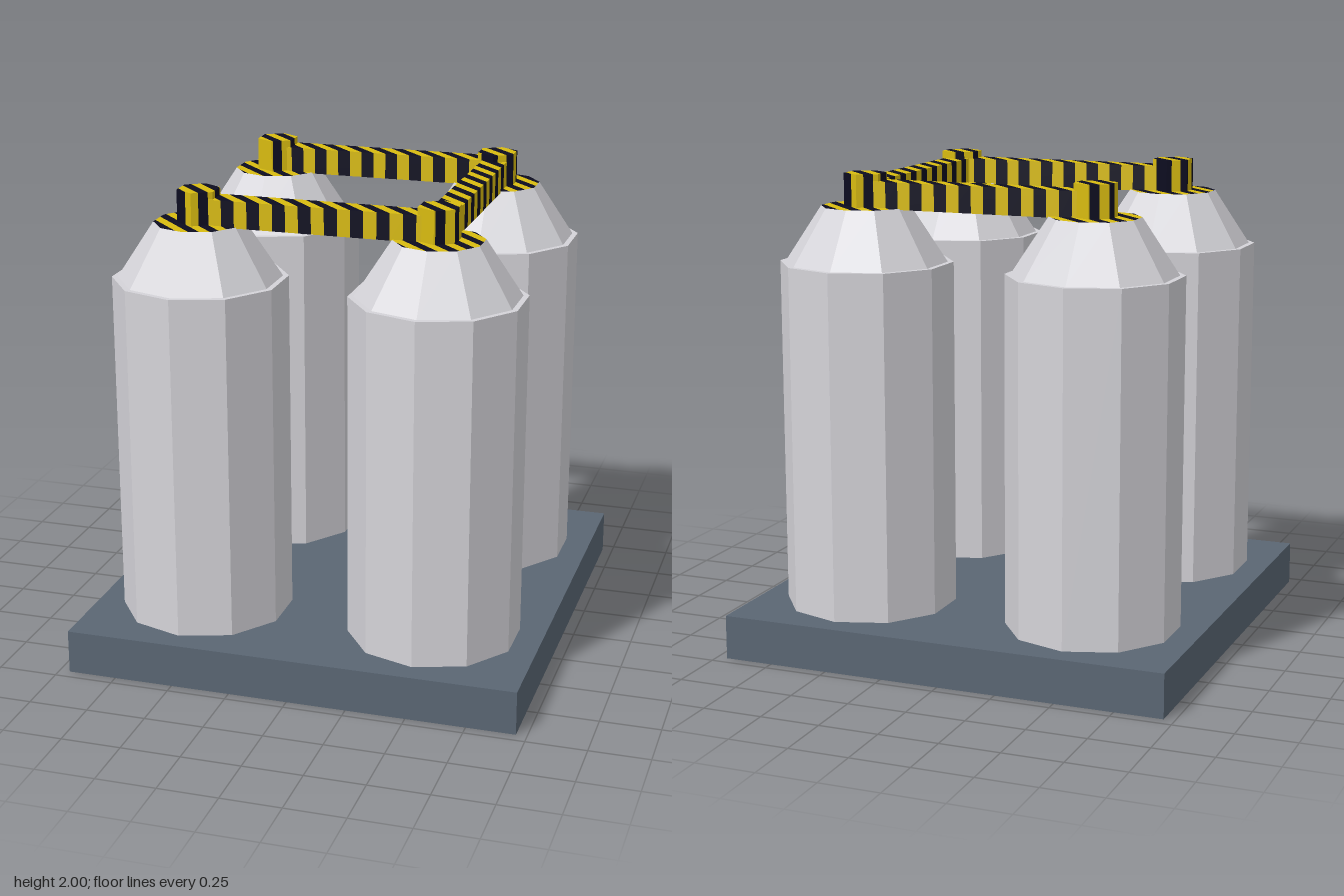
import * as THREE from 'three';

const PERIOD = 0.1075; // width of one yellow + black pair, measured along x or z

const mat = (name, color, extra = {}) => {
  const m = new THREE.MeshStandardMaterial({ color, flatShading: true, ...extra });
  m.name = name;
  return m;
};

// Diagonal coordinate that the hazard stripes follow
const diag = (p) => p.x - p.z;

// Keep the part of a polygon where sign * (diag - limit) >= 0
function clip(poly, limit, sign) {
  const out = [];
  poly.forEach((a, i) => {
    const b = poly[(i + 1) % poly.length];
    const da = sign * (diag(a) - limit);
    const db = sign * (diag(b) - limit);
    if (da >= 0) out.push(a);
    if ((da > 0 && db < 0) || (da < 0 && db > 0)) out.push(a.clone().lerp(b, da / (da - db)));
  });
  return out;
}

// Cut a geometry into diagonal bands: group 0 is yellow, group 1 is black
function striped(geometry) {
  const pos = geometry.toNonIndexed().attributes.position;
  const bands = [[], []];
  const half = PERIOD / 2;
  for (let i = 0; i < pos.count; i += 3) {
    const tri = [0, 1, 2].map((k) => new THREE.Vector3().fromBufferAttribute(pos, i + k));
    const d = tri.map(diag);
    const first = Math.round(Math.min(...d) / half);
    const last = Math.round(Math.max(...d) / half);
    for (let k = first; k <= last; k++) {
      const piece = clip(clip(tri, (k - 0.5) * half, 1), (k + 0.5) * half, -1);
      for (let j = 1; j + 1 < piece.length; j++) {
        bands[Math.abs(k) % 2].push(piece[0], piece[j], piece[j + 1]);
      }
    }
  }
  const result = new THREE.BufferGeometry().setFromPoints([...bands[0], ...bands[1]]);
  result.addGroup(0, bands[0].length, 0);
  result.addGroup(bands[0].length, bands[1].length, 1);
  result.computeVertexNormals();
  return result;
}

export function createModel() {
  const model = new THREE.Group();
  model.name = 'storageTanks';
  const slate = mat('slate', 0x5a6673);
  const steel = mat('paleSteel', 0xd4d3d8);
  const hazard = [mat('hazardYellow', 0xd8bb10), mat('hazardBlack', 0x0c0c20)];

  const add = (name, geometry, material, parent = model) => {
    const mesh = new THREE.Mesh(geometry, material);
    mesh.name = name;
    parent.add(mesh);
    return mesh;
  };

  // Base slab
  add('base', new THREE.BoxGeometry(1.91, 0.185, 1.91).translate(0, 0.0925, 0), slate);

  // Four ten-sided tanks with a conical roof, striped cap and hexagonal post
  for (const x of [-0.5, 0.5]) {
    for (const z of [-0.5, 0.5]) {
      const tank = new THREE.Group();
      tank.name = (z > 0 ? 'front' : 'back') + (x > 0 ? 'Left' : 'Right') + 'Tank';
      model.add(tank);
      add('tankBody', new THREE.CylinderGeometry(0.36, 0.36, 1.45, 10).translate(x, 0.91, z), steel, tank);
      add('tankRoof', new THREE.CylinderGeometry(0.185, 0.336, 0.23, 10, 1, true).translate(x, 1.75, z), steel, tank);
      const cap = new THREE.CircleGeometry(0.185, 10).rotateX(-Math.PI / 2).rotateY(Math.PI / 2);
      add('roofCap', striped(cap.translate(x, 1.865, z)), hazard, tank);
      const post = new THREE.CylinderGeometry(0.089, 0.089, 0.135, 6);
      add('pipePost', striped(post.translate(x, 1.9325, z)), hazard, tank);
    }
  }

  // Connecting pipes: front, back and the model's left side
  const pipe = (name, w, d, x, z) =>
    add(name, striped(new THREE.BoxGeometry(w, 0.11, d).translate(x, 1.915, z)), hazard);
  pipe('frontPipe', 1, 0.11, 0, 0.5);
  pipe('backPipe', 1, 0.11, 0, -0.5);
  pipe('leftPipe', 0.11, 0.89, 0.5, 0);

  return model;
}
